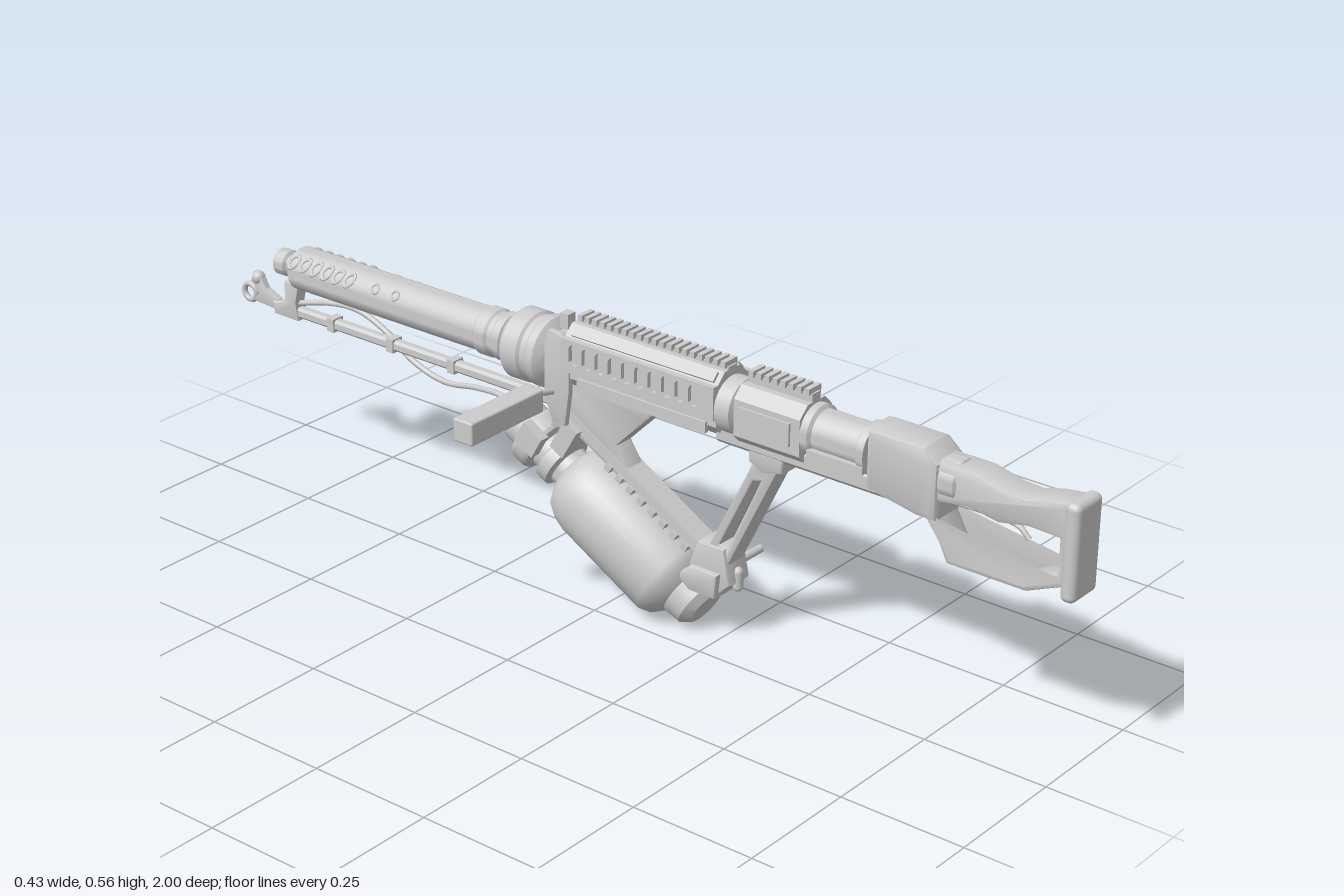
import * as THREE from 'three';
import { toCreasedNormals } from 'three/addons/utils/BufferGeometryUtils.js';
import { RoundedBoxGeometry } from 'three/addons/geometries/RoundedBoxGeometry.js';

const mat = new THREE.MeshStandardMaterial({ color: 0xcccccc, side: THREE.DoubleSide });
const AX = 0.466; // height of the barrel axis

function add(parent, name, geo, x = 0, y = 0, z = 0) {
  const m = new THREE.Mesh(geo, mat);
  m.name = name;
  m.position.set(x, y, z);
  parent.add(m);
  return m;
}
const box = (p, name, w, h, d, x, y, z) => add(p, name, new THREE.BoxGeometry(w, h, d), x, y, z);
const path = pts => pts.map(p => new THREE.Vector2(p[0], p[1]));

// side silhouette given as [z, y], extruded to a width across x
function side(p, name, pts, width, { x = 0, bevel = 0.006, holes = [] } = {}) {
  const s = new THREE.Shape(path(pts));
  holes.forEach(h => s.holes.push(new THREE.Path(path(h))));
  const depth = width - 2 * bevel;
  const g = new THREE.ExtrudeGeometry(s, {
    depth, bevelEnabled: bevel > 0, bevelThickness: bevel, bevelSize: bevel, bevelOffset: -bevel, bevelSegments: 2
  });
  g.translate(0, 0, -depth / 2).rotateY(-Math.PI / 2);
  return add(p, name, toCreasedNormals(g, 0.6), x);
}
// cross-section given as [x, y], extruded from z0 to z1
function bar(p, name, pts, z0, z1) {
  const g = new THREE.ExtrudeGeometry(new THREE.Shape(path(pts)), { depth: z1 - z0, bevelEnabled: false });
  return add(p, name, g, 0, 0, z0);
}
// turned part given as [radius, position along its axis]
const turned = (pts, seg = 32) => toCreasedNormals(new THREE.LatheGeometry(path(pts), seg), 0.55);
const turnedZ = (p, name, pts, y = AX) => add(p, name, turned(pts).rotateX(Math.PI / 2), 0, y);
const octagon = (w, y0, y1, c) => [[-w, y0 + c], [-w + c, y0], [w - c, y0], [w, y0 + c],
  [w, y1 - c], [w - c, y1], [-w + c, y1], [-w, y1 - c]];
function tube(p, name, pts, r, n = 40) {
  const curve = new THREE.CatmullRomCurve3(pts.map(a => new THREE.Vector3(...a)));
  return add(p, name, new THREE.TubeGeometry(curve, n, r, 8));
}

export function createModel() {
  const root = new THREE.Group();
  const gun = new THREE.Group();
  gun.name = 'weapon';
  gun.position.x = 0.085;
  root.add(gun);

  // stock: grip, hand guard loop, butt plate, trigger
  side(gun, 'stockFrame', [[0.98, 0.52], [0.93, 0.514], [0.89, 0.502], [0.85, 0.504], [0.79, 0.518], [0.72, 0.518],
    [0.68, 0.53], [0.68, 0.41], [0.705, 0.40], [0.74, 0.33], [0.90, 0.33], [0.98, 0.365]], 0.068, {
    bevel: 0.01,
    holes: [[[0.96, 0.45], [0.90, 0.452], [0.84, 0.44], [0.78, 0.45], [0.71, 0.44], [0.72, 0.41], [0.755, 0.35], [0.89, 0.35], [0.96, 0.385]]]
  });
  add(gun, 'buttPlate', new RoundedBoxGeometry(0.08, 0.185, 0.03, 3, 0.012), 0, 0.431, 0.985);
  turnedZ(gun, 'gripRing', [[0.034, 0.715], [0.04, 0.72], [0.04, 0.75], [0.034, 0.755]], 0.482);
  tube(gun, 'trigger', [[0, 0.435, 0.70], [0, 0.435, 0.84], [0, 0.43, 0.865], [0, 0.412, 0.885]], 0.005, 16);

  // rear receiver and tube
  side(gun, 'rearReceiver', [[0.72, 0.515], [0.69, 0.54], [0.57, 0.54], [0.57, 0.425], [0.68, 0.405], [0.72, 0.405]], 0.085, { bevel: 0.014 });
  turnedZ(gun, 'receiverTube', [[0.044, 0.25], [0.044, 0.43], [0.049, 0.435], [0.049, 0.45], [0.042, 0.455], [0.042, 0.55],
    [0.049, 0.555], [0.049, 0.57], [0, 0.57]], 0.487);
  bar(gun, 'lowerRail', octagon(0.032, 0.412, 0.452, 0.008), 0.24, 0.66);
  bar(gun, 'midReceiver', octagon(0.048, 0.425, 0.54, 0.022), 0.29, 0.435);
  for (const s of [-1, 1]) {
    box(gun, 'midReceiverSidePlate', 0.006, 0.045, 0.11, s * 0.05, 0.485, 0.36);
    box(gun, 'tubeSideBar', 0.012, 0.014, 0.12, s * 0.042, 0.46, 0.51);
  }
  turnedZ(gun, 'receiverCollar', [[0.04, 0.245], [0.054, 0.25], [0.054, 0.282], [0.04, 0.288]], 0.483);

  // top rails with teeth
  const rail = (name, z0, z1, n) => {
    const g = new THREE.Group();
    g.name = name;
    gun.add(g);
    box(g, 'railBase', 0.024, 0.02, z1 - z0, 0, 0.546, (z0 + z1) / 2);
    for (let i = 0; i < n; i++) {
      const d = (z1 - z0) / n;
      box(g, 'railTooth', 0.036, 0.012, d * 0.6, 0, 0.56, z0 + d * (i + 0.5));
    }
  };
  rail('rearRail', 0.295, 0.435, 8);
  rail('frontRail', -0.1, 0.25, 20);

  // slotted handguard
  bar(gun, 'handguardCore', octagon(0.047, 0.425, 0.55, 0.024), -0.105, 0.25);
  const slots = [];
  for (let i = 0; i < 10; i++) {
    const z = -0.075 + i * 0.031;
    slots.push([[z - 0.011, 0.487], [z - 0.004, 0.481], [z + 0.006, 0.481], [z + 0.011, 0.489],
      [z + 0.009, 0.516], [z + 0.003, 0.521], [z - 0.006, 0.521], [z - 0.011, 0.514]]);
  }
  for (const s of [-1, 1]) {
    side(gun, 'slottedPanel', [[0.25, 0.465], [0.25, 0.53], [-0.105, 0.53], [-0.105, 0.465]], 0.012, { x: s * 0.05, bevel: 0, holes: slots });
    box(gun, 'lowerSideStrip', 0.01, 0.022, 0.3, s * 0.048, 0.445, 0.08);
    const chamfer = box(gun, 'upperSideStrip', 0.006, 0.02, 0.33, s * 0.036, 0.541, 0.075);
    chamfer.rotation.z = s * 0.78;
    side(gun, 'frontCheek', [[-0.09, 0.52], [-0.11, 0.535], [-0.14, 0.535], [-0.15, 0.51], [-0.15, 0.40], [-0.13, 0.35], [-0.10, 0.35], [-0.09, 0.42]],
      0.014, { x: s * 0.045, bevel: 0.003 });
  }
  box(gun, 'frontSight', 0.022, 0.03, 0.02, 0, 0.54, -0.135);

  // collars, barrel and muzzle
  turnedZ(gun, 'barrel', [[0, -0.885], [0.022, -0.885], [0.027, -0.88], [0.027, -0.855], [0.021, -0.85], [0.021, -0.832],
    [0.036, -0.832], [0.044, -0.822], [0.044, -0.335], [0.048, -0.33], [0.048, -0.305], [0.044, -0.30], [0.044, -0.29],
    [0.048, -0.285], [0.048, -0.268], [0.036, -0.262], [0.036, -0.25]]);
  turnedZ(gun, 'barrelCollar', [[0.036, -0.255], [0.062, -0.252], [0.070, -0.242], [0.070, -0.205], [0.065, -0.20], [0.065, -0.188],
    [0.070, -0.182], [0.070, -0.165], [0.058, -0.155], [0.050, -0.15], [0.050, -0.1]]);

  // vent rims on both upper flanks of the barrel
  const vent = (z, len, lean, s) => {
    const g = new THREE.TorusGeometry(0.009, 0.0025, 6, 16).scale(1, len, 1).rotateZ(lean * s);
    g.rotateY(-Math.PI / 2 * s); // now facing sideways
    g.rotateZ(s * 0.62);
    add(gun, 'barrelVent', g, s * 0.0435 * Math.cos(0.62), AX + 0.0435 * Math.sin(0.62), z);
  };
  for (const s of [-1, 1]) {
    for (let i = 0; i < 6; i++) vent(-0.66 - i * 0.03, 1.7, -0.5, s);
    vent(-0.54, 1, 0, s);
    vent(-0.592, 1, 0, s);
  }

  // pilot line below the barrel, with bracket and igniter tip
  const pilot = new THREE.Group();
  pilot.name = 'pilotLine';
  gun.add(pilot);
  bar(pilot, 'pilotRod', octagon(0.011, 0.357, 0.379, 0.005), -0.9, -0.13);
  for (const z of [-0.42, -0.58, -0.74]) box(pilot, 'rodClip', 0.028, 0.028, 0.018, 0, 0.368, z);
  side(pilot, 'frontBracket', [[-0.825, 0.43], [-0.865, 0.43], [-0.865, 0.385], [-0.895, 0.375], [-0.895, 0.352], [-0.83, 0.352], [-0.835, 0.39]], 0.028, { bevel: 0.003 });
  side(pilot, 'igniterArm', [[-0.89, 0.38], [-0.925, 0.395], [-0.94, 0.42], [-0.958, 0.425], [-0.965, 0.405], [-0.945, 0.38], [-0.96, 0.362], [-0.89, 0.358]], 0.016, { bevel: 0.003 });
  add(pilot, 'igniterKnob', new THREE.SphereGeometry(0.014, 14, 10), 0, 0.412, -0.95);
  add(pilot, 'igniterRing', new THREE.TorusGeometry(0.017, 0.006, 8, 20).rotateY(Math.PI / 2), 0, 0.375, -0.975);
  tube(pilot, 'hose', [[0, 0.31, -0.24], [0.005, 0.333, -0.30], [0.018, 0.325, -0.38], [0.024, 0.31, -0.47], [0.024, 0.33, -0.55],
    [0.022, 0.375, -0.62], [0.018, 0.403, -0.69], [0.012, 0.402, -0.76], [0, 0.385, -0.84]], 0.006, 64);

  // tilted fuel tank: local y runs along its axis, local z points away from its top
  const tank = new THREE.Group();
  tank.name = 'fuelTank';
  tank.position.set(0, 0.049, 0.198);
  tank.rotation.x = -Math.PI / 3;
  gun.add(tank);
  add(tank, 'tankBody', turned([[0, 0], [0.038, 0], [0.054, 0.016], [0.056, 0.04], [0.058, 0.052], [0.082, 0.07], [0.091, 0.09],
    [0.092, 0.30], [0.088, 0.325], [0.076, 0.35], [0.055, 0.365], [0.042, 0.37], [0.042, 0.39]]));
  add(tank, 'tankValve', turned([[0.042, 0.385], [0.054, 0.39], [0.054, 0.415], [0.044, 0.42], [0.044, 0.435], [0.058, 0.44],
    [0.062, 0.447], [0.062, 0.475], [0.056, 0.482], [0.046, 0.485], [0.046, 0.515], [0.036, 0.523], [0, 0.523]], 24));
  box(tank, 'tankRail', 0.05, 0.42, 0.022, 0, 0.215, 0.112);
  for (let i = 0; i < 8; i++) box(tank, 'railRib', 0.064, 0.014, 0.014, 0, 0.09 + i * 0.03, 0.097);
  box(tank, 'valveClamp', 0.085, 0.035, 0.07, 0, 0.402, 0.075);
  for (const s of [-1, 1]) box(tank, 'valveClampLug', 0.022, 0.05, 0.05, s * 0.054, 0.455, 0.03);

  // mounting plate and folding strut between receiver and tank
  side(gun, 'mountPlate', [[0.10, 0.43], [-0.135, 0.43], [-0.15, 0.37], [-0.16, 0.325], [-0.10, 0.325], [0.02, 0.26], [0.03, 0.285], [0.0, 0.33], [0.07, 0.40]], 0.046, { bevel: 0.004 });
  side(gun, 'rearStrut', [[0.385, 0.41], [0.325, 0.42], [0.305, 0.37], [0.205, 0.165], [0.255, 0.145], [0.37, 0.385]], 0.05, {
    holes: [[[0.335, 0.36], [0.318, 0.355], [0.246, 0.205], [0.262, 0.20]]]
  });
  side(gun, 'strutHinge', [[0.39, 0.43], [0.31, 0.43], [0.31, 0.395], [0.34, 0.38], [0.385, 0.39]], 0.06);
  side(gun, 'strutFoot', [[0.26, 0.20], [0.20, 0.20], [0.18, 0.15], [0.20, 0.105], [0.25, 0.105], [0.275, 0.13]], 0.064);
  side(gun, 'strutFootClamp', [[0.255, 0.15], [0.19, 0.15], [0.16, 0.125], [0.19, 0.10], [0.25, 0.10]], 0.09);
  add(gun, 'footLatch', new THREE.CapsuleGeometry(0.01, 0.03, 4, 12), 0, 0.133, 0.272);

  // cocking knob and side handle
  const cyl = (name, r, len, x, y, z) => add(gun, name, new THREE.CylinderGeometry(r, r, len, 16).rotateZ(Math.PI / 2), x, y, z);
  cyl('knobPin', 0.004, 0.05, 0.05, 0.13, 0.225);
  cyl('knob', 0.008, 0.075, 0.093, 0.13, 0.225);
  tube(gun, 'handleRod', [[-0.04, 0.41, -0.13], [-0.065, 0.416, -0.13], [-0.085, 0.42, -0.13], [-0.11, 0.42, -0.13]], 0.006, 12);
  add(gun, 'sideHandle', new RoundedBoxGeometry(0.2, 0.046, 0.046, 2, 0.004), -0.2, 0.417, -0.132);
  return root;
}
